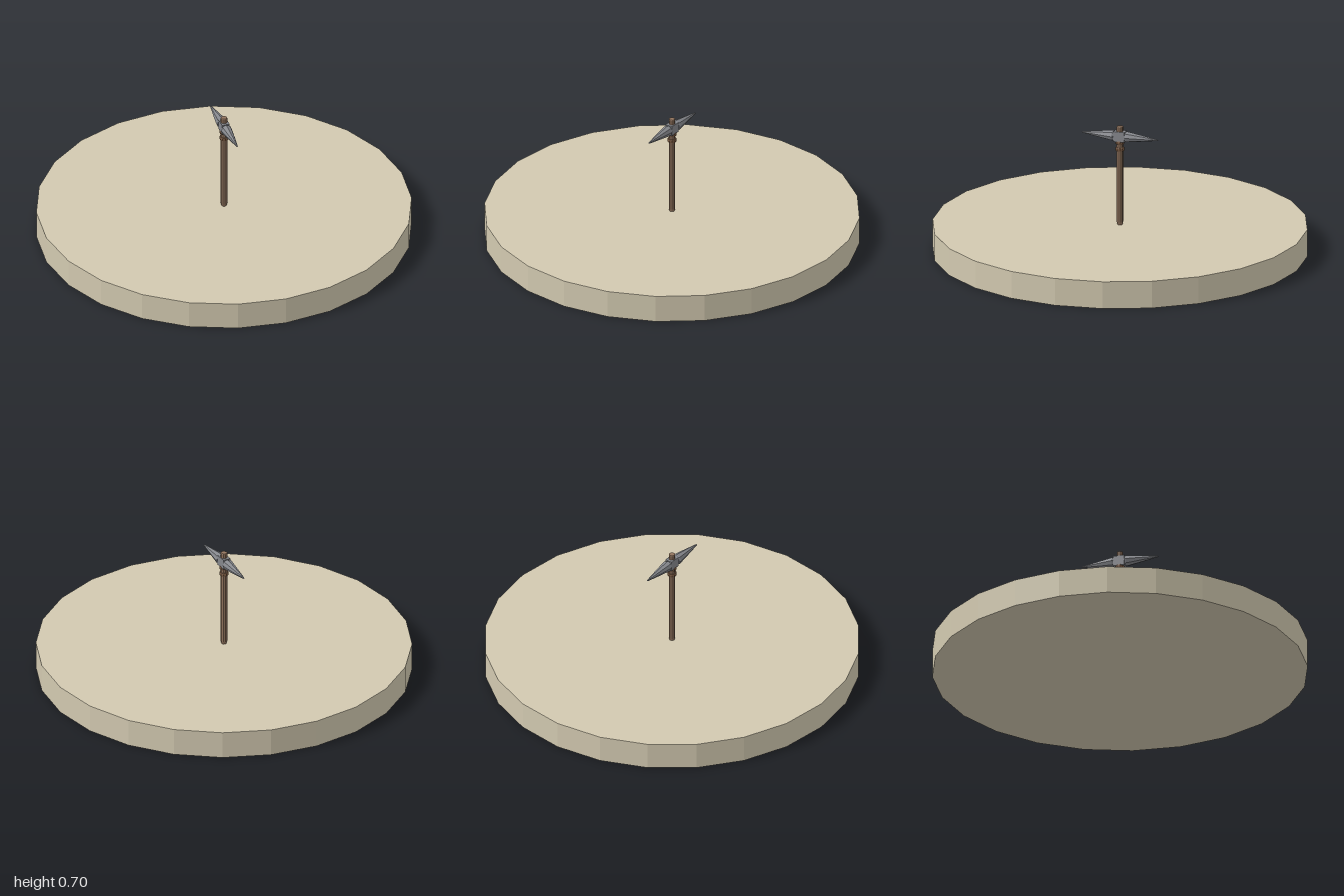
import * as THREE from 'three';

export function createModel() {
  const model = new THREE.Group();
  const material = (name, color) => {
    const m = new THREE.MeshStandardMaterial({ color, flatShading: true });
    m.name = name;
    return m;
  };
  const sand = material('sand', 0xd2c9b0);
  const wood = material('wood', 0x94765f);
  const binding = material('binding', 0x7a5a42);
  const steel = material('steel', 0x85878c);

  const add = (name, geometry, mat, y, z = 0) => {
    const mesh = new THREE.Mesh(geometry, mat);
    mesh.name = name;
    mesh.position.set(0, y, z);
    model.add(mesh);
    return mesh;
  };
  const lathe = (points, sides) =>
    new THREE.LatheGeometry(points.map(([r, y]) => new THREE.Vector2(r, y)), sides);

  // Round ground slab
  add('base', new THREE.CylinderGeometry(1, 1, 0.15, 24), sand, 0.075);

  // Upright shaft with a tapered foot
  add('handle', lathe([[0, 0.145], [0.013, 0.15], [0.018, 0.165], [0.018, 0.55],
    [0.018, 0.694], [0.016, 0.698], [0, 0.698]], 10), wood, 0);

  // Bindings below the head
  for (const [y, h] of [[0.573, 0.018], [0.61, 0.018]]) {
    add('collar', lathe([[0.017, -h / 2], [0.023, -h / 2], [0.025, -h / 4], [0.025, h / 4],
      [0.023, h / 2], [0.017, h / 2]], 10), binding, y);
  }

  // Pick head: central socket and two mirrored spikes
  add('headSocket', new THREE.BoxGeometry(0.042, 0.056, 0.062), steel, 0.643);
  for (const side of [1, -1]) {
    const spike = add('spike', lathe([[0, 0], [0.026, 0], [0.03, 0.008], [0.021, 0.07],
      [0.004, 0.18], [0, 0.186]], 8), steel, 0.643, side * 0.032);
    spike.rotation.x = side * Math.PI / 2;
  }
  return model;
}
